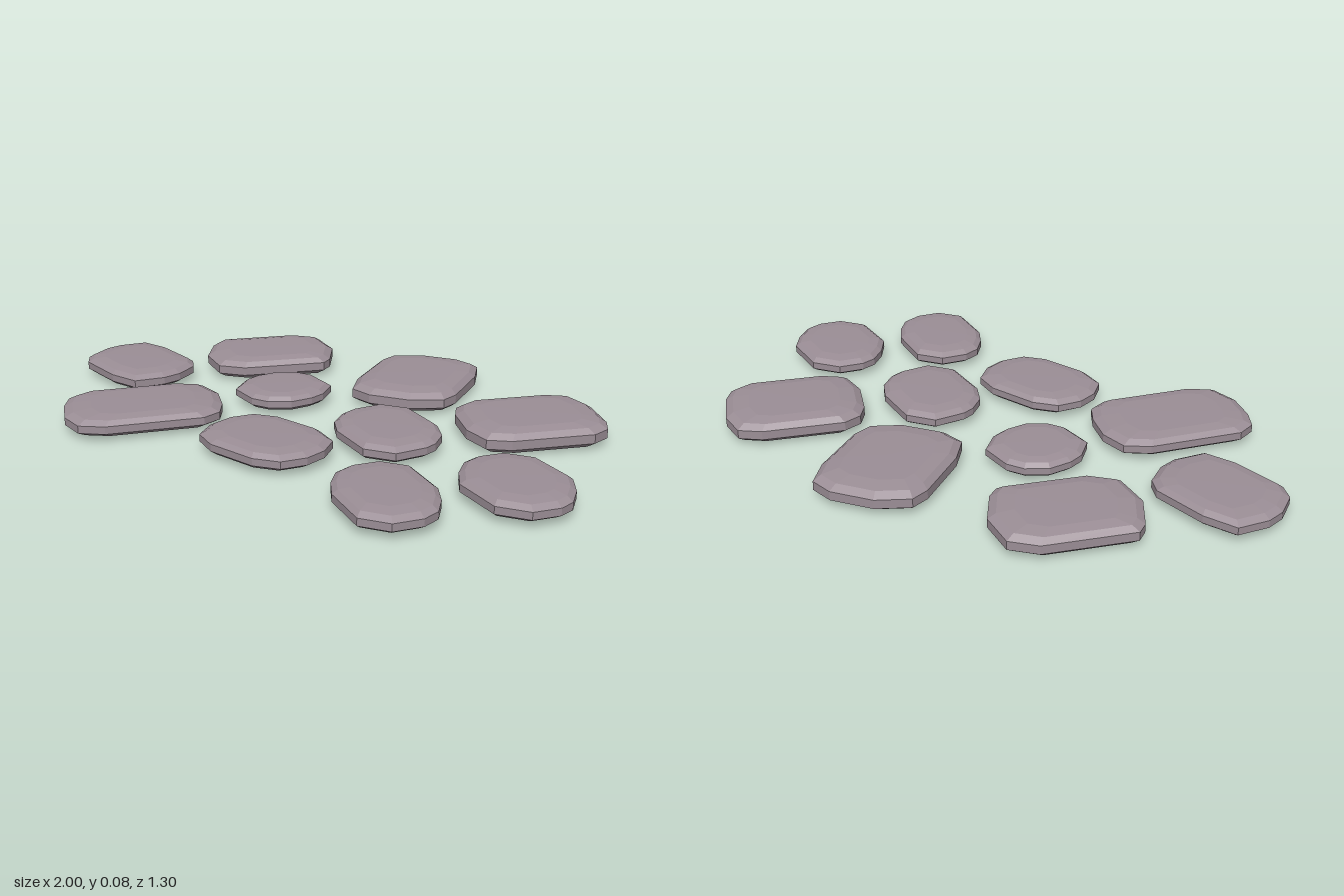
import * as THREE from 'three';

// Each stone: centre [x, z], half height, and half of its outline;
// the other half is the same run of points turned by 180 degrees.
const STONES = [
  { name: 'backLeftStone', at: [0.564, -0.33], h: 0.038,
    half: [[-0.07, -0.203], [-0.005, -0.246], [0.09, -0.214], [0.195, -0.128], [0.23, -0.075], [0.225, -0.01]] },
  { name: 'backMiddleStone', at: [0.053, -0.414], h: 0.038,
    half: [[-0.125, -0.197], [0.008, -0.243], [0.088, -0.233], [0.142, -0.144], [0.206, 0.056], [0.206, 0.12]] },
  { name: 'backRightStone', at: [-0.525, -0.3], h: 0.036,
    half: [[-0.06, -0.195], [0.025, -0.235], [0.14, -0.18], [0.215, -0.08], [0.227, -0.035]] },
  { name: 'outerRightStone', at: [-0.797, 0.083], h: 0.031,
    half: [[-0.15, -0.155], [-0.04, -0.162], [0.136, -0.126], [0.18, -0.086], [0.203, 0], [0.197, 0.064]] },
  { name: 'smallMiddleStone', at: [-0.225, -0.048], h: 0.028,
    half: [[-0.06, -0.138], [0, -0.15], [0.107, -0.118], [0.142, -0.04], [0.142, 0.015], [0.118, 0.088]] },
  { name: 'middleStone', at: [0.281, 0.027], h: 0.03,
    half: [[-0.053, -0.18], [0.102, -0.118], [0.16, -0.064], [0.187, 0.005], [0.187, 0.048], [0.15, 0.146]] },
  { name: 'outerLeftStone', at: [0.807, 0.115], h: 0.03,
    half: [[-0.048, -0.178], [0.107, -0.118], [0.158, -0.053], [0.19, 0.018], [0.187, 0.07], [0.145, 0.144]] },
  { name: 'frontRightStone', at: [-0.438, 0.382], h: 0.032,
    half: [[-0.064, -0.21], [0.005, -0.26], [0.096, -0.24], [0.182, -0.176], [0.23, -0.118], [0.23, -0.05]] },
  { name: 'frontMiddleStone', at: [0.056, 0.329], h: 0.03,
    half: [[-0.086, -0.147], [0.086, -0.147], [0.17, -0.112], [0.203, -0.037], [0.203, 0.037], [0.166, 0.112]] },
  { name: 'frontLeftStone', at: [0.578, 0.406], h: 0.03,
    half: [[-0.053, -0.182], [0.096, -0.11], [0.15, -0.053], [0.187, 0.01], [0.187, 0.07], [0.144, 0.15]] },
];

// Cross-sections from bottom to top: [outline scale, height in half heights]
const RINGS = [[0.66, -0.98], [0.89, -0.8], [1, -0.38], [1, 0.38], [0.89, 0.8], [0.66, 0.98]];

function stoneGeometry(half, h) {
  const outline = [...half, ...half.map(([x, z]) => [-x, -z])];
  const n = outline.length;
  const positions = [];
  const index = [];
  for (const [s, y] of RINGS)
    for (const [x, z] of outline) positions.push(x * s, y * h, z * s);
  const bottom = RINGS.length * n;
  const top = bottom + 1;
  positions.push(0, -h, 0, 0, h, 0);

  for (let j = 0; j < n; j++) {
    const k = (j + 1) % n;
    // walls and bevels
    for (let r = 0; r < RINGS.length - 1; r++) {
      const a = r * n + j, b = r * n + k;
      index.push(a, a + n, b, b, a + n, b + n);
    }
    // bottom and top faces
    const last = (RINGS.length - 1) * n;
    index.push(bottom, j, k, top, last + k, last + j);
  }
  const indexed = new THREE.BufferGeometry();
  indexed.setAttribute('position', new THREE.Float32BufferAttribute(positions, 3));
  indexed.setIndex(index);
  const geometry = indexed.toNonIndexed();
  geometry.computeVertexNormals();
  return geometry;
}

export function createModel() {
  const group = new THREE.Group();
  group.name = 'steppingStones';
  const material = new THREE.MeshStandardMaterial({ color: 0x9b8e96, flatShading: true });
  for (const { name, at, h, half } of STONES) {
    const stone = new THREE.Mesh(stoneGeometry(half, h), material);
    stone.name = name;
    stone.position.set(at[0], 0.038, at[1]);
    group.add(stone);
  }
  return group;
}
